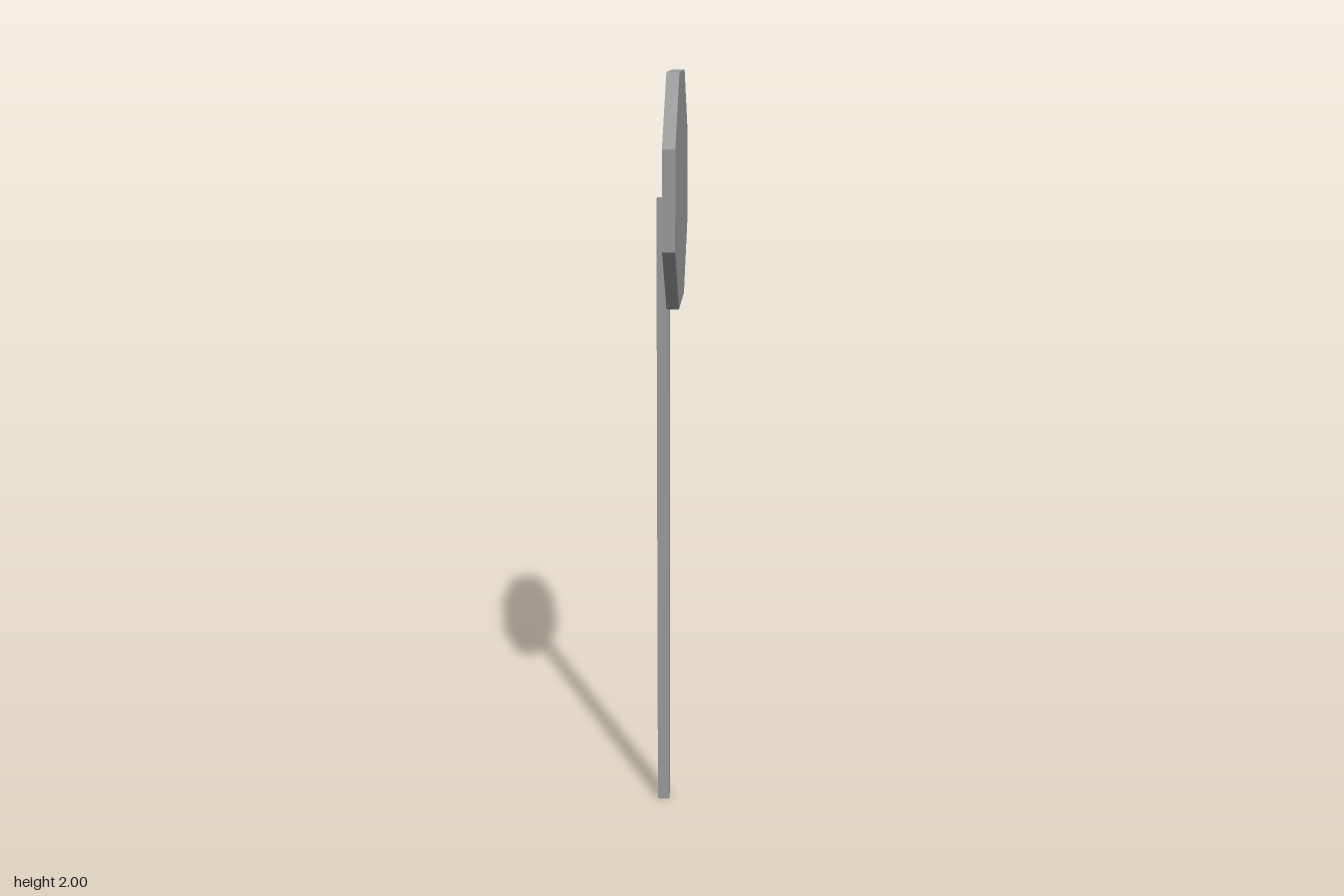
import * as THREE from 'three';

export function createModel() {
  const group = new THREE.Group();
  const material = new THREE.MeshStandardMaterial({ color: 0x9b9b9b, flatShading: true });

  // Square post standing behind the panel
  const postHeight = 1.692;
  const post = new THREE.Mesh(new THREE.BoxGeometry(0.032, postHeight, 0.032), material);
  post.name = 'post';
  post.position.set(-0.016, postHeight / 2, 0);
  group.add(post);

  // Regular octagonal panel facing +x, with flat edges at top, bottom and sides
  const halfWidth = 0.2845, thickness = 0.031;
  const radius = halfWidth / Math.cos(Math.PI / 8);
  const panelGeometry = new THREE.CylinderGeometry(radius, radius, thickness, 8)
    .rotateY(Math.PI / 8)
    .rotateZ(-Math.PI / 2);
  const panel = new THREE.Mesh(panelGeometry, material);
  panel.name = 'signPanel';
  panel.position.set(thickness / 2, 2 - halfWidth, 0);
  group.add(panel);

  return group;
}
